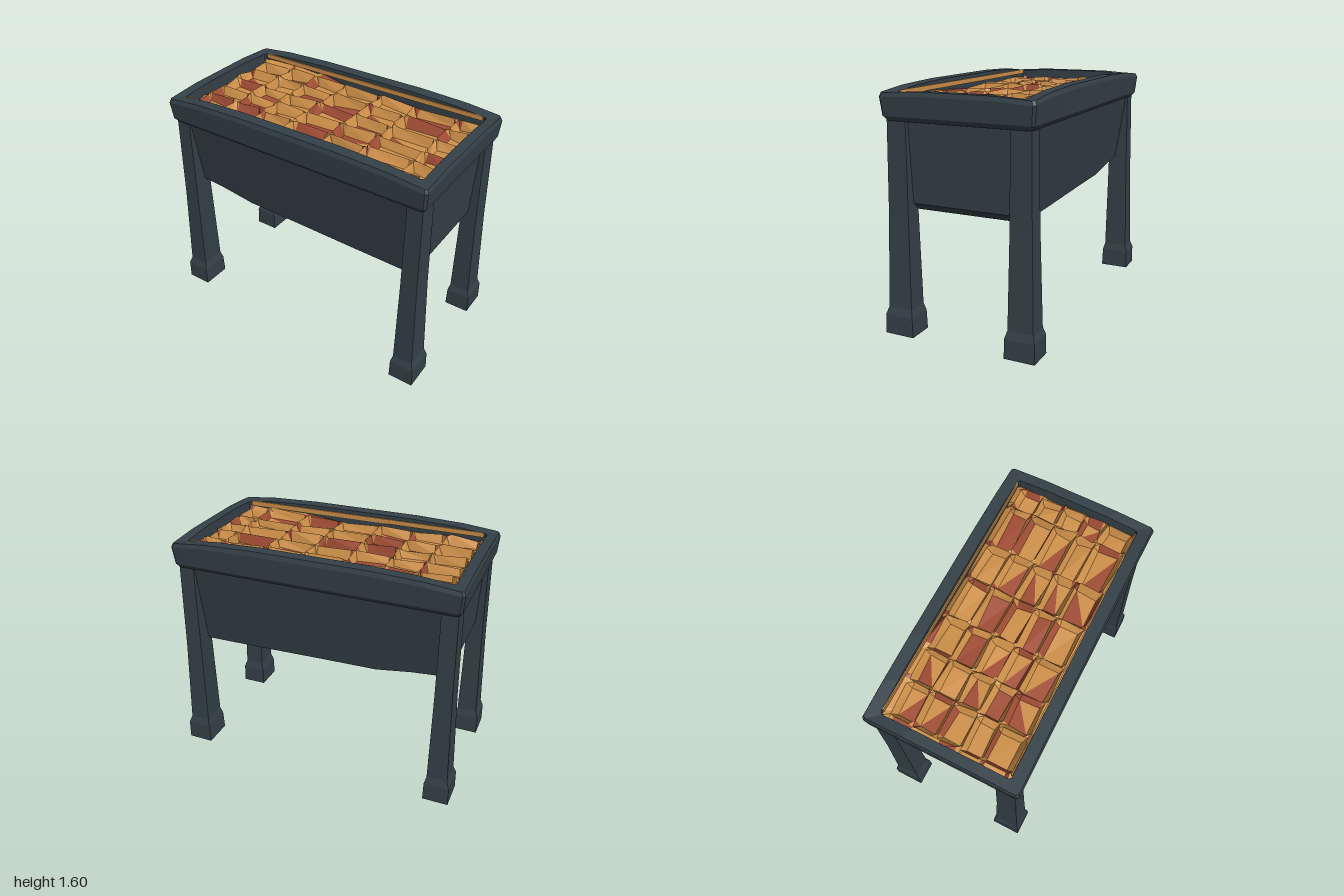
import * as THREE from 'three';

const metal = new THREE.MeshStandardMaterial({ color: 0x344148, flatShading: true });
metal.name = 'dark iron';
const orange = new THREE.MeshStandardMaterial({ color: 0xd0914a, flatShading: true, side: THREE.DoubleSide });
orange.name = 'glowing orange';
const red = new THREE.MeshStandardMaterial({ color: 0xa34e36, flatShading: true, side: THREE.DoubleSide });
red.name = 'ember red';

function seeded(seed) {
  let s = seed;
  return () => (s = (s * 16807) % 2147483647) / 2147483647;
}

function part(name, geometry, material) {
  const mesh = new THREE.Mesh(geometry, material);
  mesh.name = name;
  return mesh;
}

// Skins a stack of closed rings (each an array of [x, y, z]), optionally capped
function loft(rings, caps) {
  const out = [];
  const tri = (a, b, c) => out.push(...a, ...b, ...c);
  const n = rings[0].length;
  for (let r = 0; r + 1 < rings.length; r++) {
    for (let i = 0; i < n; i++) {
      const j = (i + 1) % n, A = rings[r], B = rings[r + 1];
      tri(A[i], A[j], B[j]);
      tri(A[i], B[j], B[i]);
    }
  }
  if (caps) {
    const bottom = rings[0], top = rings[rings.length - 1];
    for (let i = 1; i + 1 < n; i++) {
      tri(bottom[0], bottom[i + 1], bottom[i]);
      tri(top[0], top[i], top[i + 1]);
    }
  }
  const g = new THREE.BufferGeometry();
  g.setAttribute('position', new THREE.Float32BufferAttribute(out, 3));
  g.computeVertexNormals();
  return g;
}

// Rim: rectangular rings, rails bowed upward and corners worn down
function rimGeometry() {
  const half = [ // fraction of half length, fraction of half depth, share of the bow
    [-0.985, 1, 0.08], [-0.75, 1, 0.68], [-0.4, 1, 1], [0.4, 1, 1], [0.75, 1, 0.68], [0.985, 1, 0.08],
    [1, 0.97, 0], [1, 0.5, 0.4], [1, -0.5, 0.4], [1, -0.97, 0],
  ];
  const ring = ([hx, hz, y, bow]) => [1, -1].flatMap(s =>
    half.map(([fx, fz, b]) => [s * fx * hx, y + bow * b, s * fz * hz]));
  return loft([
    [0.9, 0.43, 1.38, 0], [0.95, 0.487, 1.39, 0], [0.972, 0.51, 1.42, 0],
    [0.982, 0.522, 1.535, 0.035], [0.972, 0.512, 1.562, 0.038],
    [0.905, 0.432, 1.562, 0.036], [0.9, 0.43, 1.37, 0],
  ].map(ring), false);
}

// Leg: tapered square post with a flared foot
function legGeometry(sx, sz) {
  const rows = [ // y, x inner, x outer, z inner, z outer
    [0, 0.825, 1, 0.325, 0.53], [0.13, 0.828, 0.998, 0.328, 0.528],
    [0.18, 0.84, 0.98, 0.342, 0.512], [0.8, 0.845, 0.96, 0.35, 0.495],
    [1.42, 0.845, 0.95, 0.352, 0.485],
  ];
  return loft(rows.map(([y, xi, xo, zi, zo]) => {
    const [x0, x1] = sx > 0 ? [xi, xo] : [-xo, -xi];
    const [z0, z1] = sz > 0 ? [zi, zo] : [-zo, -zi];
    return [[x0, y, z1], [x1, y, z1], [x1, y, z0], [x0, y, z0]];
  }), true);
}

// Basin: side outline with a worn, sloping underside, narrowing downward
function basinGeometry() {
  const outline = [[-0.925, 1.41], [-0.9, 0.93], [-0.84, 0.91], [-0.66, 0.892], [-0.42, 0.852],
    [0, 0.842], [0.4, 0.83], [0.84, 0.82], [0.895, 0.87], [0.925, 1.41]];
  const shape = new THREE.Shape(outline.map(([x, y]) => new THREE.Vector2(x, y)));
  const g = new THREE.ExtrudeGeometry(shape, { depth: 2, bevelEnabled: false }).translate(0, 0, -1);
  const p = g.attributes.position;
  for (let i = 0; i < p.count; i++) p.setZ(i, p.getZ(i) * (0.385 + 0.155 * (p.getY(i) - 0.82)));
  g.computeVertexNormals();
  return g;
}

// Coal bed: sunken cells between narrow ridges, facets split over two colours
function coalGeometry() {
  const rnd = seeded(77);
  const ridgeX = [-0.875, -0.635, -0.405, -0.15, 0.14, 0.41, 0.73, 0.885];
  const ridgeZ = [-0.395, -0.24, -0.075, 0.08, 0.225, 0.41];
  // Cell floors: o orange, r red, m and n half red on either diagonal
  const cells = ['mnoooro', 'morrmoo', 'onmonmo', 'ormrnom', 'onmonmo'];
  // Every ridge gives a crest line and a floor line on each side
  const lines = (ridges, edge) => {
    const list = [{ v: -edge, kind: 'edge' }];
    ridges.forEach((r, i) => {
      if (i > 0) list.push({ v: r - 0.024, kind: 'floor' });
      list.push({ v: r, kind: 'ridge' });
      if (i < ridges.length - 1) list.push({ v: r + 0.028, kind: 'floor', cell: i });
    });
    list.push({ v: edge, kind: 'edge' });
    return list;
  };
  const X = lines(ridgeX, 0.904), Z = lines(ridgeZ, 0.431);
  const height = (x, z) => {
    if (z.kind === 'edge') return x.v * z.v < 0.08 ? 1.49 : 1.535;
    if (x.kind === 'edge') return 1.49;
    return x.kind === 'floor' && z.kind === 'floor' ? 1.46 : 1.52;
  };
  const grid = Z.map(z => X.map(x => {
    const j = x.kind === 'edge' || z.kind === 'edge' ? 0 : 0.016;
    return [x.v + (rnd() - 0.5) * j, height(x, z) + (rnd() - 0.5) * 0.025, z.v + (rnd() - 0.5) * j];
  }));
  const faces = [[], []];
  for (let k = 0; k + 1 < Z.length; k++) {
    for (let i = 0; i + 1 < X.length; i++) {
      const a = grid[k][i], b = grid[k + 1][i], c = grid[k + 1][i + 1], d = grid[k][i + 1];
      const floor = X[i].cell !== undefined && Z[k].cell !== undefined;
      const wall = rnd() < 0.2 ? 'r' : 'o';
      const tone = floor ? cells[Z[k].cell][X[i].cell] : wall;
      const first = tone === 'o' ? 0 : 1, second = tone === 'r' ? 1 : 0;
      if (tone === 'n') {
        faces[first].push(...a, ...b, ...d);
        faces[second].push(...b, ...c, ...d);
      } else {
        faces[first].push(...a, ...b, ...c);
        faces[second].push(...a, ...c, ...d);
      }
    }
  }
  const g = new THREE.BufferGeometry();
  g.setAttribute('position', new THREE.Float32BufferAttribute([...faces[0], ...faces[1]], 3));
  g.addGroup(0, faces[0].length / 3, 0);
  g.addGroup(faces[0].length / 3, faces[1].length / 3, 1);
  g.computeVertexNormals();
  return g;
}

export function createModel() {
  const model = new THREE.Group();
  model.name = 'brazier';
  model.add(part('rim', rimGeometry(), metal));
  model.add(part('basin', basinGeometry(), metal));
  model.add(part('coalBed', coalGeometry(), [orange, red]));
  for (const sz of [1, -1]) {
    for (const sx of [1, -1]) {
      model.add(part((sz > 0 ? 'front' : 'back') + (sx > 0 ? 'Left' : 'Right') + 'Leg', legGeometry(sx, sz), metal));
    }
    // Thin glowing strip along the inside of each long rail
    const strip = part('emberStrip', new THREE.BoxGeometry(1.76, 0.032, 0.008), orange);
    strip.position.set(0, 1.556, sz * 0.426);
    model.add(strip);
  }
  return model;
}
